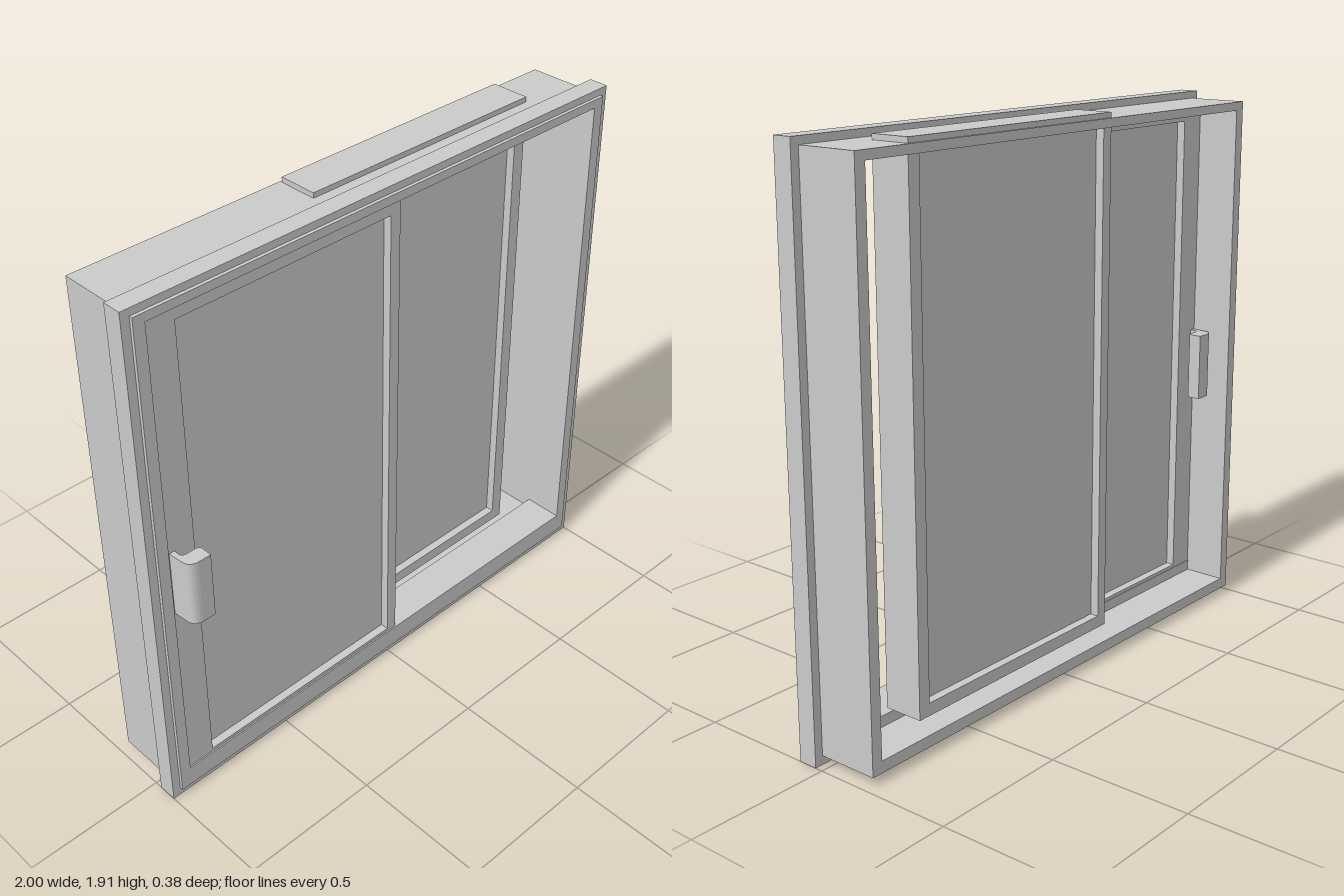
import * as THREE from 'three';

const material = new THREE.MeshStandardMaterial({ color: 0xcccccc, flatShading: true });
const smooth = new THREE.MeshStandardMaterial({ color: 0xcccccc });

function add(parent, name, geometry, mat = material) {
  const mesh = new THREE.Mesh(geometry, mat);
  mesh.name = name;
  parent.add(mesh);
  return mesh;
}

// Box given by its limits on each axis
function box(parent, name, [x0, x1], [y0, y1], [z0, z1]) {
  const mesh = add(parent, name, new THREE.BoxGeometry(x1 - x0, y1 - y0, z1 - z0));
  mesh.position.set((x0 + x1) / 2, (y0 + y1) / 2, (z0 + z1) / 2);
}

function corners([x0, x1], [y0, y1]) {
  return [[x0, y0], [x1, y0], [x1, y1], [x0, y1]].map(p => new THREE.Vector2(...p));
}

// Rectangular ring extruded from z0 to z1
function ring(parent, name, outerX, outerY, innerX, innerY, [z0, z1]) {
  const shape = new THREE.Shape(corners(outerX, outerY));
  shape.holes.push(new THREE.Path(corners(innerX, innerY)));
  const geometry = new THREE.ExtrudeGeometry(shape, { depth: z1 - z0, bevelEnabled: false });
  geometry.translate(0, 0, z0);
  add(parent, name, geometry);
}

// Sliding sash: a ring of rails and stiles around a recessed pane
function sash(name, outerX, outerY, innerX, innerY, [z0, z1]) {
  const group = new THREE.Group();
  group.name = name;
  ring(group, 'sashFrame', outerX, outerY, innerX, innerY, [z0, z1]);
  box(group, 'pane', innerX, innerY, [z0 + 0.03, z1 - 0.03]);
  return group;
}

// Hooked pull, drawn in plan (x, distance from the sash) and extruded upward
function handle(name, z, dir) {
  const s = new THREE.Shape();
  s.moveTo(-0.925, 0);
  s.lineTo(-0.905, 0);
  s.lineTo(-0.905, 0.02);
  s.quadraticCurveTo(-0.903, 0.035, -0.885, 0.035);
  s.lineTo(-0.85, 0.035);
  s.quadraticCurveTo(-0.838, 0.037, -0.838, 0.05);
  s.lineTo(-0.838, 0.088);
  s.lineTo(-0.885, 0.088);
  s.quadraticCurveTo(-0.916, 0.086, -0.92, 0.06);
  s.closePath();
  const points = s.getPoints(6).map(p => new THREE.Vector2(p.x, p.y * dir));
  const geometry = new THREE.ExtrudeGeometry(new THREE.Shape(points), { depth: 0.24, bevelEnabled: false });
  geometry.rotateX(Math.PI / 2).translate(0, 1.04, z);
  const group = new THREE.Group();
  group.name = name;
  add(group, 'grip', geometry, smooth);
  return group;
}

export function createModel() {
  const model = new THREE.Group();
  model.name = 'slidingWindow';

  // Fixed surround with its outer flange
  ring(model, 'outerFrame', [-0.97, 0.97], [0.03, 1.89], [-0.93, 0.93], [0.07, 1.86], [-0.19, 0.107]);
  ring(model, 'flange', [-1, 1], [0, 1.915], [-0.97, 0.97], [0.03, 1.89], [0.027, 0.095]);

  // Raised step of the sill that carries the front sash
  box(model, 'sillStep', [-0.93, 0.93], [0.07, 0.108], [-0.038, 0.107]);

  // Front sash with a pull on each side of its wide stile
  const front = sash('frontSash', [-0.93, 0.03], [0.108, 1.858], [-0.83, -0.01], [0.12, 1.82], [-0.036, 0.102]);
  front.add(handle('frontHandle', 0.102, 1), handle('backHandle', -0.036, -1));
  model.add(front);

  // Back sash, reaching up through the head of the surround
  model.add(sash('backSash', [-0.19, 0.755], [0.13, 1.908], [-0.15, 0.71], [0.173, 1.868], [-0.182, -0.042]));
  return model;
}
